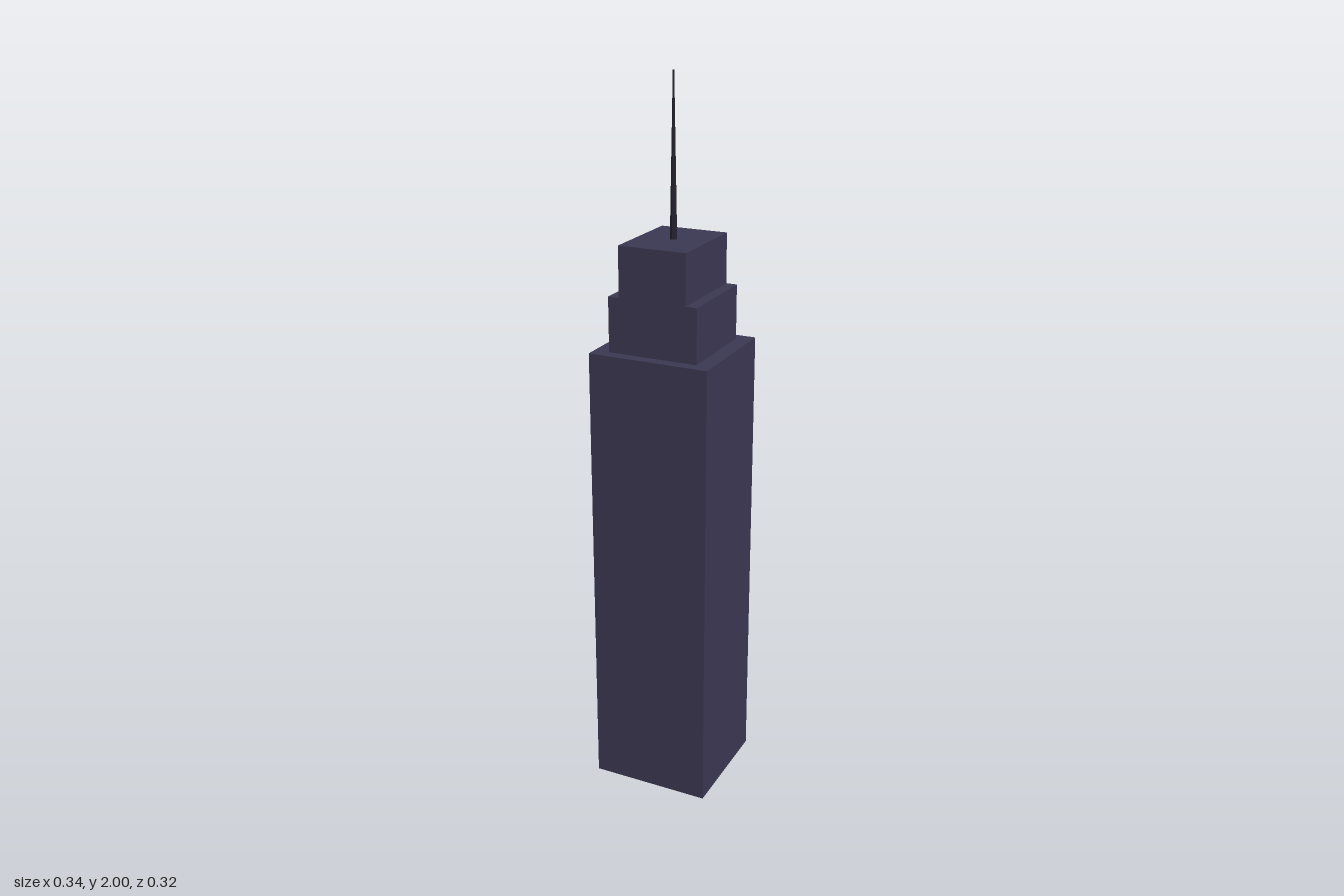
import * as THREE from 'three';

export function createModel() {
  const tower = new THREE.Group();
  tower.name = 'skyscraper';
  const wall = new THREE.MeshStandardMaterial({ color: 0x3b3752, flatShading: true });
  const metal = new THREE.MeshStandardMaterial({ color: 0x242230, flatShading: true });
  const glow = new THREE.MeshStandardMaterial({ color: 0xe8bc74 });

  const add = (parent, name, geometry, material, x, y, z) => {
    const mesh = new THREE.Mesh(geometry, material);
    mesh.name = name;
    mesh.position.set(x, y, z);
    parent.add(mesh);
  };

  // Stepped tiers: name, width, depth, bottom, top
  const tiers = [
    ['mainBlock', 0.338, 0.318, 0, 1.29],
    ['middleTier', 0.252, 0.254, 1.29, 1.44],
    ['topTier', 0.19, 0.254, 1.44, 1.577],
  ];
  for (const [name, w, d, y0, y1] of tiers) {
    add(tower, name, new THREE.BoxGeometry(w, y1 - y0, d), wall, 0, (y0 + y1) / 2, 0);
  }

  // Tapered roof mast
  add(tower, 'mast', new THREE.CylinderGeometry(0.002, 0.01, 0.423, 8), metal, 0, 1.7885, 0);

  // Lit windows on the back wall: columns lit in each floor, bottom floor first
  const windows = new THREE.Group();
  windows.name = 'litWindows';
  const floors = [[1], [0, 1, 2, 3], [], [2, 3], [1], [1], [3], [3]];
  const pane = new THREE.PlaneGeometry(0.035, 0.05).rotateY(Math.PI);
  floors.forEach((columns, floor) => {
    for (const c of columns) {
      add(windows, 'window', pane, glow, -0.135 + c * 0.083, 0.162 + floor * 0.141, -0.161);
    }
  });
  tower.add(windows);
  return tower;
}
